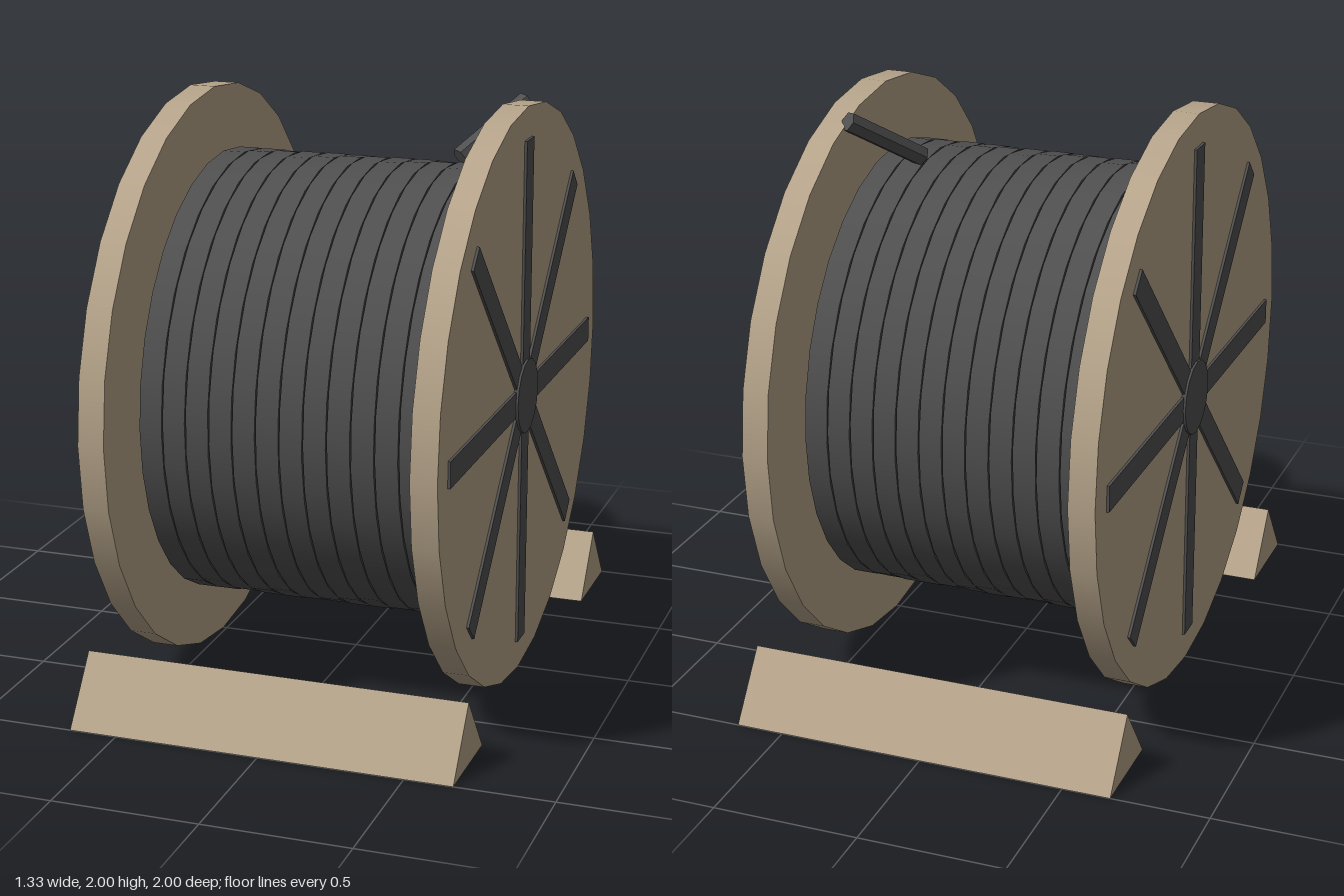
import * as THREE from 'three';

const wood = new THREE.MeshStandardMaterial({ color: 0xb8a68c });
const flatWood = new THREE.MeshStandardMaterial({ color: 0xb8a68c, flatShading: true });
const dark = new THREE.MeshStandardMaterial({ color: 0x505050 });
const flatDark = new THREE.MeshStandardMaterial({ color: 0x505050, flatShading: true });

function add(parent, name, geometry, material, x = 0, y = 0, z = 0) {
  const mesh = new THREE.Mesh(geometry, material);
  mesh.name = name;
  mesh.position.set(x, y, z);
  parent.add(mesh);
  return mesh;
}

// Cylinder lying along the x axis
function axle(radius, width, sides) {
  return new THREE.CylinderGeometry(radius, radius, width, sides).rotateZ(Math.PI / 2);
}

export function createModel() {
  const model = new THREE.Group();
  model.name = 'cableReel';

  const reel = new THREE.Group();
  reel.name = 'reel';
  reel.position.y = 1;
  model.add(reel);

  // Inner wooden drum
  add(reel, 'core', axle(0.44, 1.04, 8), flatWood);

  // Flanges with slats and hub cap on each outer face
  for (const side of [-1, 1]) {
    const flange = new THREE.Group();
    flange.name = side > 0 ? 'leftFlange' : 'rightFlange';
    reel.add(flange);
    add(flange, 'disc', axle(1, 0.09, 28), wood, side * 0.558);
    for (let i = 0; i < 4; i++) {
      const slat = add(flange, 'slat', new THREE.BoxGeometry(0.03, 1.78, 0.09), dark, side * 0.597);
      slat.rotation.x = i * Math.PI / 4;
    }
    add(flange, 'hub', axle(0.13, 0.04, 16), dark, side * 0.6);
  }

  // Wound cable: a row of turns, each rolled a little differently
  const turns = 12, pitch = 0.081;
  for (let i = 0; i < turns; i++) {
    const turn = add(reel, 'cableTurn', axle(0.777, 0.077, 32), dark, (i - (turns - 1) / 2) * pitch);
    turn.rotation.x = (i * 5 % 7) * 0.03;
  }

  // Loose end of the cable
  const start = new THREE.Vector3(0.335, 0.785, -0.115);
  const end = new THREE.Vector3(0.505, 0.95, -0.335);
  const dir = end.clone().sub(start);
  const looseEnd = add(reel, 'looseEnd', new THREE.CylinderGeometry(0.035, 0.035, dir.length(), 6), flatDark);
  looseEnd.position.copy(start).add(end).multiplyScalar(0.5);
  looseEnd.quaternion.setFromUnitVectors(new THREE.Vector3(0, 1, 0), dir.normalize());

  // Triangular chocks in front and behind
  const triangle = new THREE.Shape([
    new THREE.Vector2(-0.165, 0), new THREE.Vector2(0.165, 0), new THREE.Vector2(0, 0.22),
  ]);
  const chock = new THREE.ExtrudeGeometry(triangle, { depth: 1.33, bevelEnabled: false });
  chock.translate(0, 0, -0.665).rotateY(Math.PI / 2);
  add(model, 'frontChock', chock, flatWood, 0, 0, 0.835);
  add(model, 'backChock', chock, flatWood, 0, 0, -0.835);

  return model;
}
